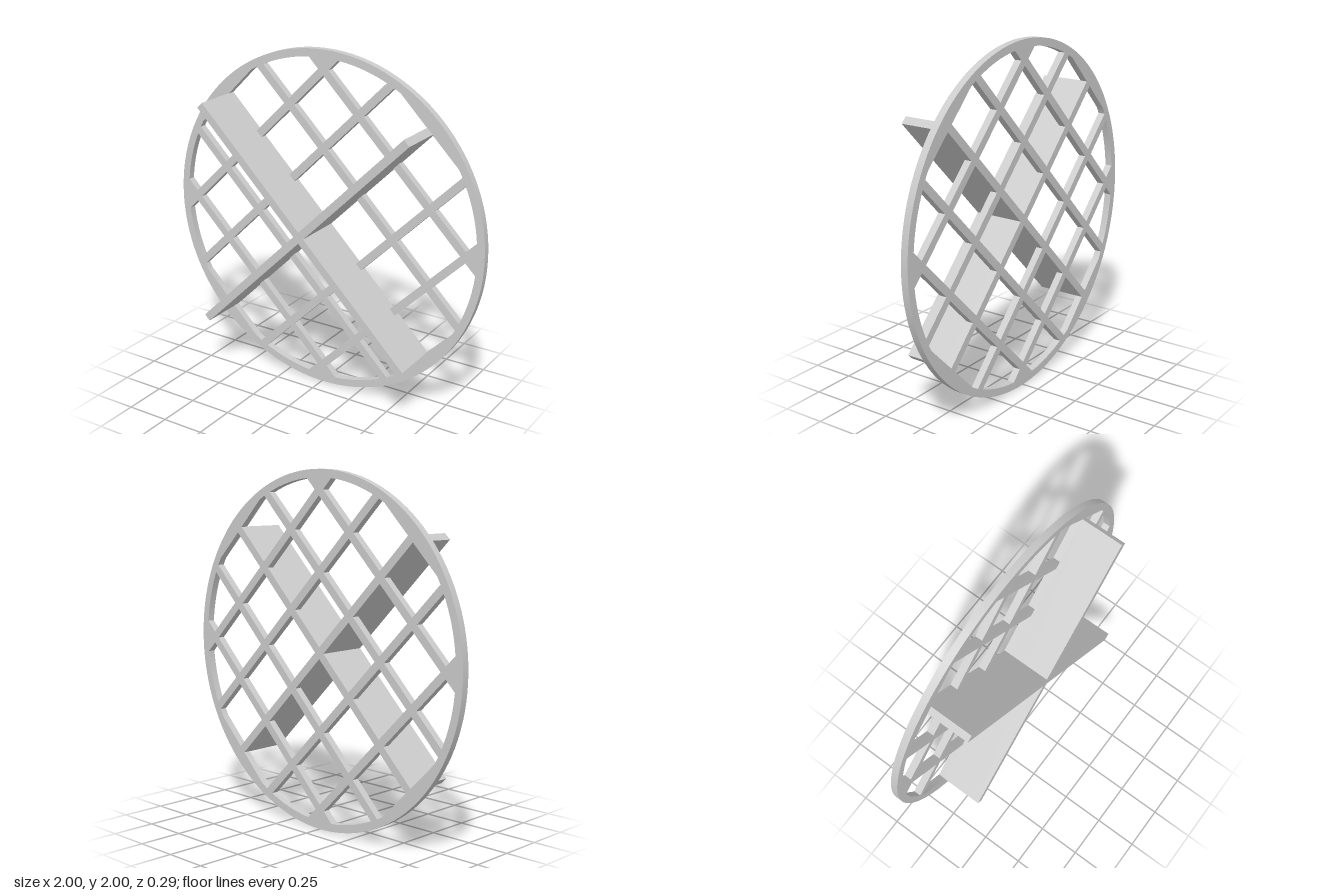
import * as THREE from 'three';
import { toCreasedNormals } from 'three/addons/utils/BufferGeometryUtils.js';

const PITCH = 0.315, BAR = 0.046, INNER = 0.955, DISC = 0.042, DEPTH = 0.292, FIN = 0.924;
const SEGMENTS = 128;

// Cuts a convex polygon with the half-plane p . n <= d
function clip(points, n, d) {
  const out = [];
  points.forEach((a, i) => {
    const b = points[(i + 1) % points.length];
    const da = a.dot(n) - d, db = b.dot(n) - d;
    if (da <= 0) out.push(a);
    if (da * db < 0) out.push(a.clone().lerp(b, da / (da - db)));
  });
  return out;
}

// One square opening of the lattice, trimmed to the inside of the rim
function opening(i, j) {
  const h = BAR / 2;
  const u0 = i * PITCH + h, u1 = (i + 1) * PITCH - h;
  const v0 = j * PITCH + h, v1 = (j + 1) * PITCH - h;
  let points = [[u0, v0], [u1, v0], [u1, v1], [u0, v1]].map(([x, y]) => new THREE.Vector2(x, y));
  for (let k = 0; k < SEGMENTS; k++) {
    const a = ((k + 0.5) / SEGMENTS) * Math.PI * 2;
    points = clip(points, new THREE.Vector2(Math.cos(a), Math.sin(a)), INNER);
  }
  return new THREE.Path(points);
}

export function createModel() {
  const model = new THREE.Group();
  const material = new THREE.MeshStandardMaterial({ color: 0xcccccc });

  // The lattice is built square, then turned 45 degrees
  const grate = new THREE.Group();
  grate.name = 'grate';
  grate.rotation.z = Math.PI / 4;
  grate.position.y = 1;
  model.add(grate);

  // Round plate with lattice openings; the four outermost corners stay solid
  const shape = new THREE.Shape().absarc(0, 0, 1, 0, Math.PI * 2);
  for (let i = -3; i < 3; i++) {
    for (let j = -3; j < 3; j++) {
      const corner = (i === -3 || i === 2) && (j === -3 || j === 2);
      if (!corner) shape.holes.push(opening(i, j));
    }
  }
  const plate = new THREE.ExtrudeGeometry(shape, { depth: DISC, bevelEnabled: false, curveSegments: SEGMENTS / 2 });
  plate.translate(0, 0, -DEPTH / 2);
  const disc = new THREE.Mesh(toCreasedNormals(plate, 0.4), material);
  disc.name = 'latticeDisc';
  grate.add(disc);

  // Crossed fins standing on the front of the disc
  const finDepth = DEPTH - DISC;
  for (const [name, w, h] of [['finAcross', FIN * 2, BAR], ['finUpright', BAR, FIN * 2]]) {
    const fin = new THREE.Mesh(new THREE.BoxGeometry(w, h, finDepth), material);
    fin.name = name;
    fin.position.z = DISC / 2;
    grate.add(fin);
  }
  return model;
}
